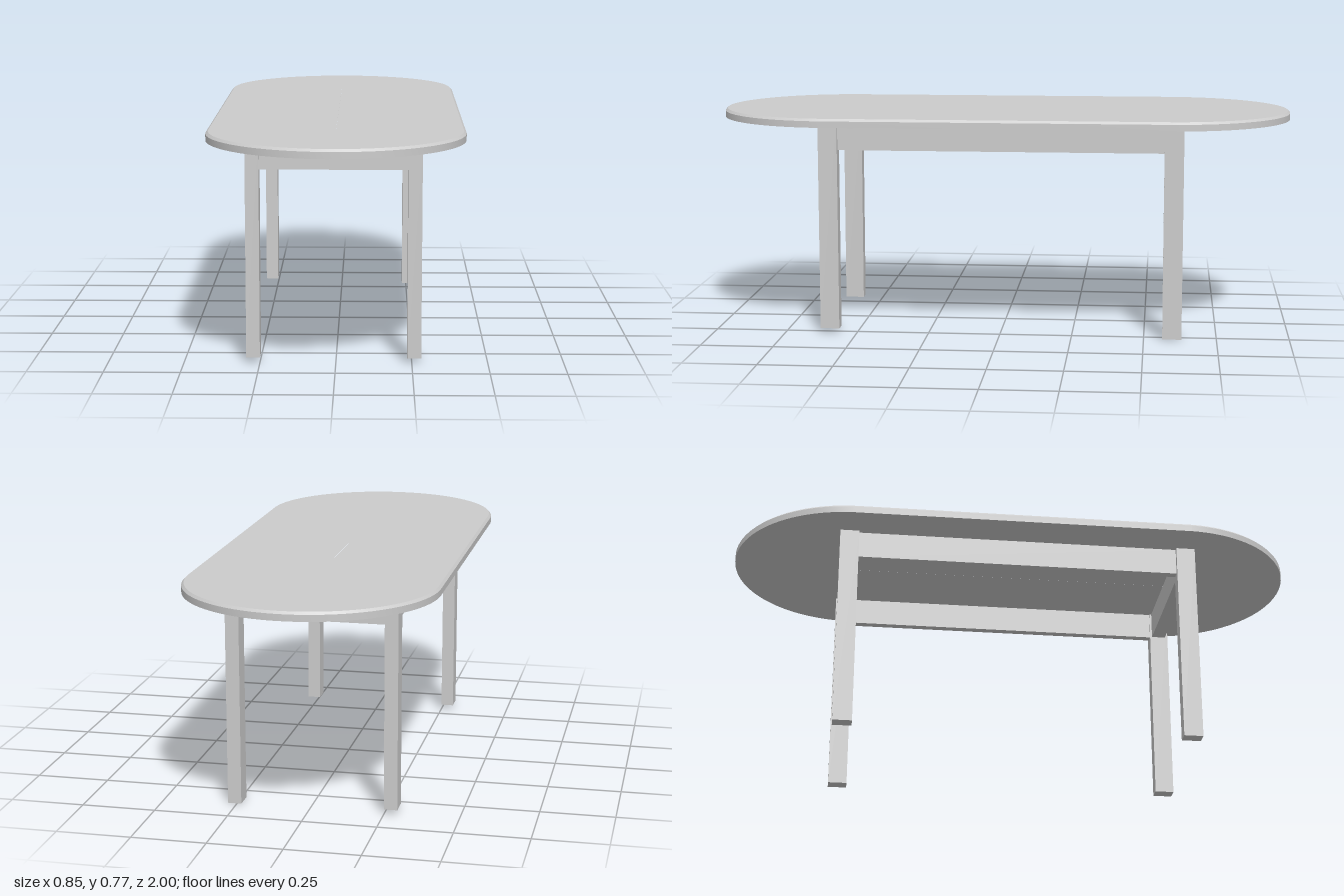
import * as THREE from 'three';
import { toCreasedNormals } from 'three/addons/utils/BufferGeometryUtils.js';

const material = new THREE.MeshStandardMaterial({ color: 0xcccccc });

// Box given by its minimum and maximum corners
function box(name, [x0, y0, z0], [x1, y1, z1]) {
  const mesh = new THREE.Mesh(new THREE.BoxGeometry(x1 - x0, y1 - y0, z1 - z0), material);
  mesh.position.set((x0 + x1) / 2, (y0 + y1) / 2, (z0 + z1) / 2);
  mesh.name = name;
  return mesh;
}

// Round slab with a chamfered upper rim, its halves pulled apart along z into an oblong
function tableTop(radius, halfLength, bottom, top) {
  const chamfer = 0.008;
  const profile = [
    [0.0001, bottom], [radius, bottom], [radius, top - chamfer],
    [radius - chamfer, top], [0.0001, top],
  ].map(([r, y]) => new THREE.Vector2(r, y));
  const segments = 96;
  const geometry = new THREE.LatheGeometry(profile, segments, Math.PI / segments);
  const pos = geometry.attributes.position;
  for (let i = 0; i < pos.count; i++) {
    const z = pos.getZ(i);
    pos.setZ(i, z + Math.sign(z) * (halfLength - radius));
  }
  const mesh = new THREE.Mesh(toCreasedNormals(geometry, Math.PI / 6), material);
  mesh.name = 'tableTop';
  return mesh;
}

export function createModel() {
  const group = new THREE.Group();
  group.name = 'table';
  const under = 0.738, apronBottom = 0.643;
  group.add(tableTop(0.423, 1, under, 0.768));

  // Legs: [inner, outer] extents on each side; the back left one is slightly longer
  const legX = { left: [0.235, 0.281], right: [-0.295, -0.25] };
  const legZ = { front: [0.56, 0.626], back: [-0.63, -0.564] };
  for (const [end, z] of Object.entries(legZ)) {
    for (const [side, x] of Object.entries(legX)) {
      const foot = end === 'back' && side === 'left' ? 0 : 0.017;
      group.add(box(`${end}_${side}_leg`, [x[0], foot, z[0]], [x[1], under, z[1]]));
    }
  }

  // Aprons between the legs, set back a little from their outer faces
  group.add(box('leftApron', [0.24, apronBottom, -0.564], [0.267, under, 0.56]));
  group.add(box('rightApron', [-0.281, apronBottom, -0.564], [-0.254, under, 0.56]));
  group.add(box('frontApron', [-0.25, apronBottom, 0.567], [0.235, under, 0.616]));
  group.add(box('backApron', [-0.25, apronBottom, -0.62], [0.235, under, -0.571]));
  return group;
}
